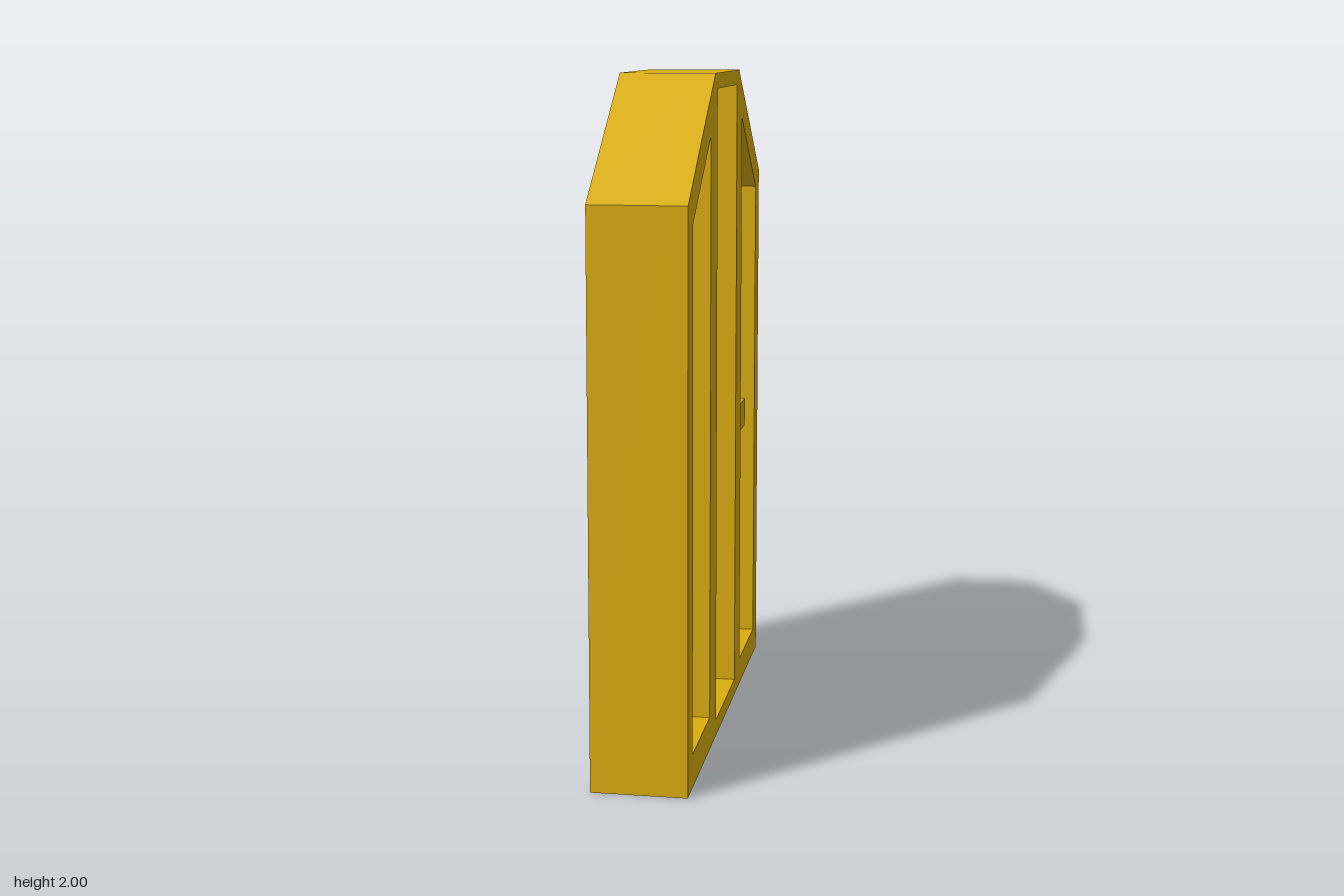
import * as THREE from 'three';

const gold = new THREE.MeshStandardMaterial({ color: 0xdaad0e });
const brown = new THREE.MeshStandardMaterial({ color: 0x74440f });

const HALF = 0.14;   // half thickness of the door
const FLOOR = 0.075; // depth at which the recessed panels lie

const points = (list) => list.map(([u, y]) => new THREE.Vector2(u, y));

// Extrudes an outline (u runs towards -z, y up) between two x positions.
function slab(name, outline, holes, x0, x1, material) {
  const shape = new THREE.Shape(points(outline));
  shape.holes = holes.map((h) => new THREE.Path(points(h)));
  const geometry = new THREE.ExtrudeGeometry(shape, { depth: x1 - x0, bevelEnabled: false });
  geometry.rotateY(Math.PI / 2).translate(x0, 0, 0);
  const mesh = new THREE.Mesh(geometry, material);
  mesh.name = name;
  return mesh;
}

// Opening with a level sill and a top that may slope.
const opening = (u0, u1, sill, top0, top1) => [[u0, sill], [u0, top0], [u1, top1], [u1, sill]];

export function createModel() {
  const door = new THREE.Group();
  door.name = 'door';

  const outline = [
    [-0.735, 0], [0.735, 0], [0.735, 1.66], [0.245, 2], [-0.245, 2], [-0.735, 1.66],
  ];
  const openings = [
    opening(-0.65, -0.33, 0.1, 1.605, 1.825),
    opening(-0.205, 0.2, 0.05, 1.955, 1.955),
    opening(0.315, 0.655, 0.085, 1.85, 1.61),
  ];

  // Solid core: brown faces, gold edges
  door.add(slab('doorCore', outline, [], -HALF, FLOOR, [brown, gold]));

  // Raised frame around the three recessed panels
  door.add(slab('frame', outline, openings, FLOOR, HALF, gold));

  // Handle bar set inside one side panel
  const handle = new THREE.Mesh(new THREE.BoxGeometry(0.045, 0.09, 0.26), gold);
  handle.name = 'handle';
  handle.position.set(0.09, 0.855, -0.49);
  door.add(handle);

  return door;
}
